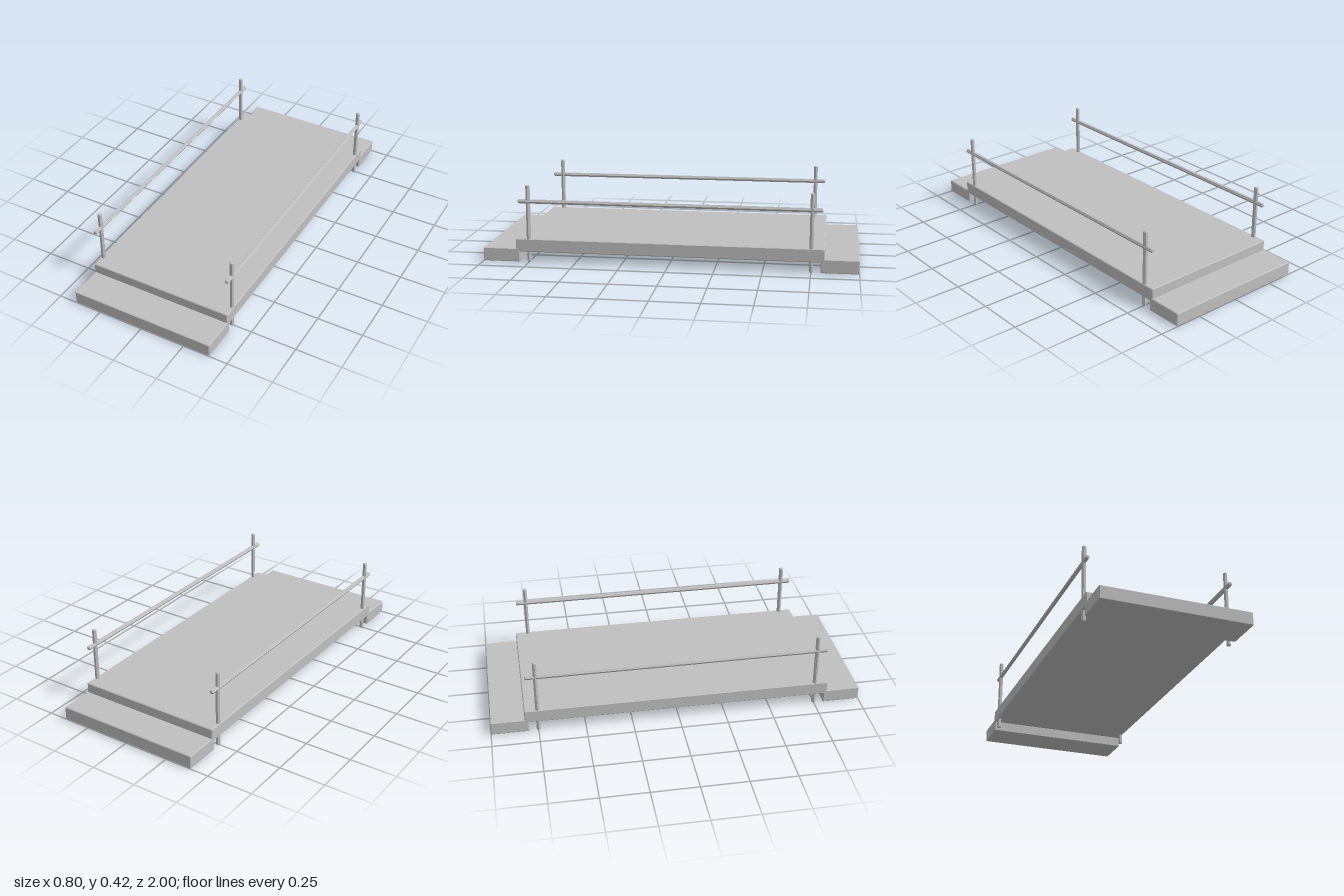
import * as THREE from 'three';
import { ConvexGeometry } from 'three/addons/geometries/ConvexGeometry.js';

const CHAMFER = 0.004;

// Box with chamfered edges and corners
function slabGeometry(width, height, depth) {
  const half = [width / 2, height / 2, depth / 2];
  const points = [];
  for (const sx of [-1, 1]) for (const sy of [-1, 1]) for (const sz of [-1, 1]) {
    for (let face = 0; face < 3; face++) {
      const p = half.map((h, i) => (i === face ? h : h - CHAMFER));
      points.push(new THREE.Vector3(sx * p[0], sy * p[1], sz * p[2]));
    }
  }
  return new ConvexGeometry(points);
}

// Upright hexagonal rod with chamfered ends and its points towards x
function rodGeometry(length, radius) {
  const points = [];
  for (let i = 0; i < 6; i++) {
    const a = (i * Math.PI) / 3;
    for (const s of [-1, 1]) {
      for (const [r, y] of [[radius, length / 2 - CHAMFER], [radius - CHAMFER, length / 2]]) {
        points.push(new THREE.Vector3(r * Math.cos(a), s * y, r * Math.sin(a)));
      }
    }
  }
  return new ConvexGeometry(points);
}

export function createModel() {
  const model = new THREE.Group();
  model.name = 'footbridge';
  const grey = new THREE.MeshStandardMaterial({ color: 0xc0c0c0 });
  grey.name = 'plain grey';

  function add(name, geometry, x, y, z) {
    const mesh = new THREE.Mesh(geometry, grey);
    mesh.name = name;
    mesh.position.set(x, y, z);
    model.add(mesh);
  }

  // Raised walkway
  add('deck', slabGeometry(0.8, 0.071, 1.64), 0, 0.0915, 0);

  // Low step at each end
  const step = slabGeometry(0.8, 0.073, 0.2);
  add('frontStep', step, 0, 0.0365, 0.9);
  add('backStep', step, 0, 0.0365, -0.9);

  // Posts and handrail along each side
  const post = rodGeometry(0.418, 0.012);
  const rail = rodGeometry(1.61, 0.012).rotateX(Math.PI / 2);
  for (const [side, sx] of [['left', 1], ['right', -1]]) {
    add(side + 'FrontPost', post, sx * 0.388, 0.209, 0.75);
    add(side + 'BackPost', post, sx * 0.388, 0.209, -0.75);
    add(side + 'Handrail', rail, sx * 0.388, 0.33, 0);
  }
  return model;
}
